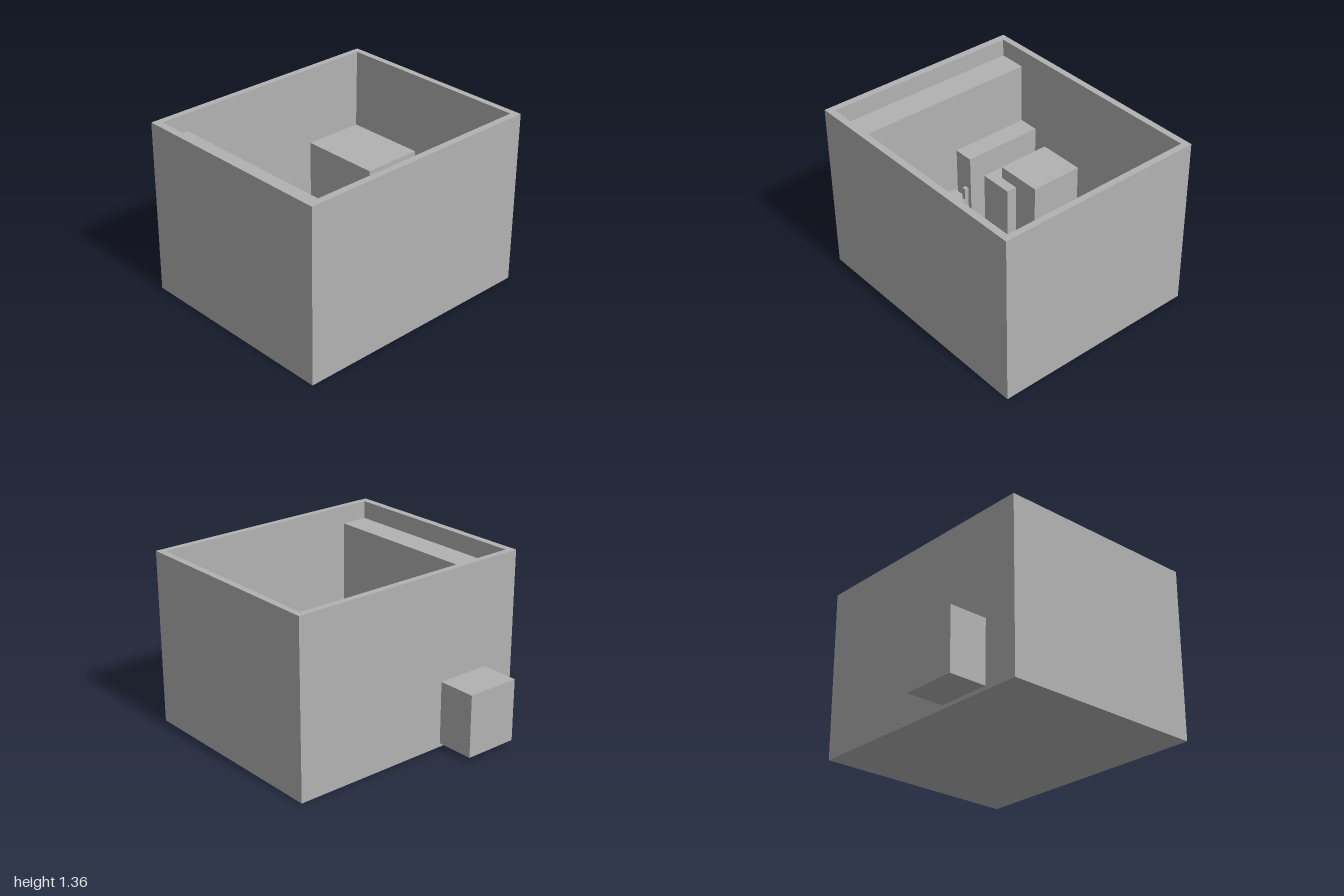
import * as THREE from 'three';

export function createModel() {
  const model = new THREE.Group();
  model.name = 'furnishedRoom';
  const grey = new THREE.MeshStandardMaterial({ color: 0xb2b2b2 });
  grey.name = 'plain grey';

  // Box given by its extents along each axis
  function block(name, [x0, x1], [y0, y1], [z0, z1], parent = model) {
    const mesh = new THREE.Mesh(new THREE.BoxGeometry(x1 - x0, y1 - y0, z1 - z0), grey);
    mesh.position.set((x0 + x1) / 2, (y0 + y1) / 2, (z0 + z1) / 2);
    mesh.name = name;
    parent.add(mesh);
  }

  const floor = 0.03, height = 1.36;
  const west = -0.63, east = 0.926, north = -0.95, south = 0.943;

  // Floor slab
  block('floor', [-0.68, 0.98], [0, floor], [-1, 1]);

  // Four walls as one extruded ring, open at the top
  const ring = new THREE.Shape([[-0.68, -1], [0.98, -1], [0.98, 1], [-0.68, 1]]
    .map(([x, y]) => new THREE.Vector2(x, y)));
  ring.holes.push(new THREE.Path([[west, -south], [west, -north], [east, -north], [east, -south]]
    .map(([x, y]) => new THREE.Vector2(x, y))));
  const wallGeometry = new THREE.ExtrudeGeometry(ring, { depth: height - floor, bevelEnabled: false });
  wallGeometry.rotateX(-Math.PI / 2).translate(0, floor, 0);
  const walls = new THREE.Mesh(wallGeometry, grey);
  walls.name = 'walls';
  model.add(walls);

  // Furniture blocks along the walls
  block('backCabinet', [west, 0.025], [floor, 0.733], [north, -0.455]);
  block('frontCabinet', [west, 0.025], [floor, 0.73], [0.56, south]);
  block('sideCabinet', [west, -0.195], [floor, 0.62], [0.067, 0.45]);
  block('frontLedge', [west, east], [floor, 1.22], [0.724, south]);

  // Long unit passing through the side wall
  block('throughWallUnit', [-0.985, -0.11], [floor, 0.52], [0.285, 0.72]);

  // Benches with corner posts rising above the slab
  function bench(name, x0, z0) {
    const group = new THREE.Group();
    group.name = name;
    const x1 = x0 + 0.876, z1 = z0 + 0.383, post = 0.033;
    block('benchTop', [x0, x1], [0.34, 0.38], [z0, z1], group);
    for (const x of [x0, x1 - post])
      for (const z of [z0, z1 - post])
        block('benchPost', [x, x + post], [floor, 0.48], [z, z + post], group);
    model.add(group);
  }
  bench('backBench', -0.181, north);
  bench('frontBench', 0.05, 0.56);

  return model;
}
